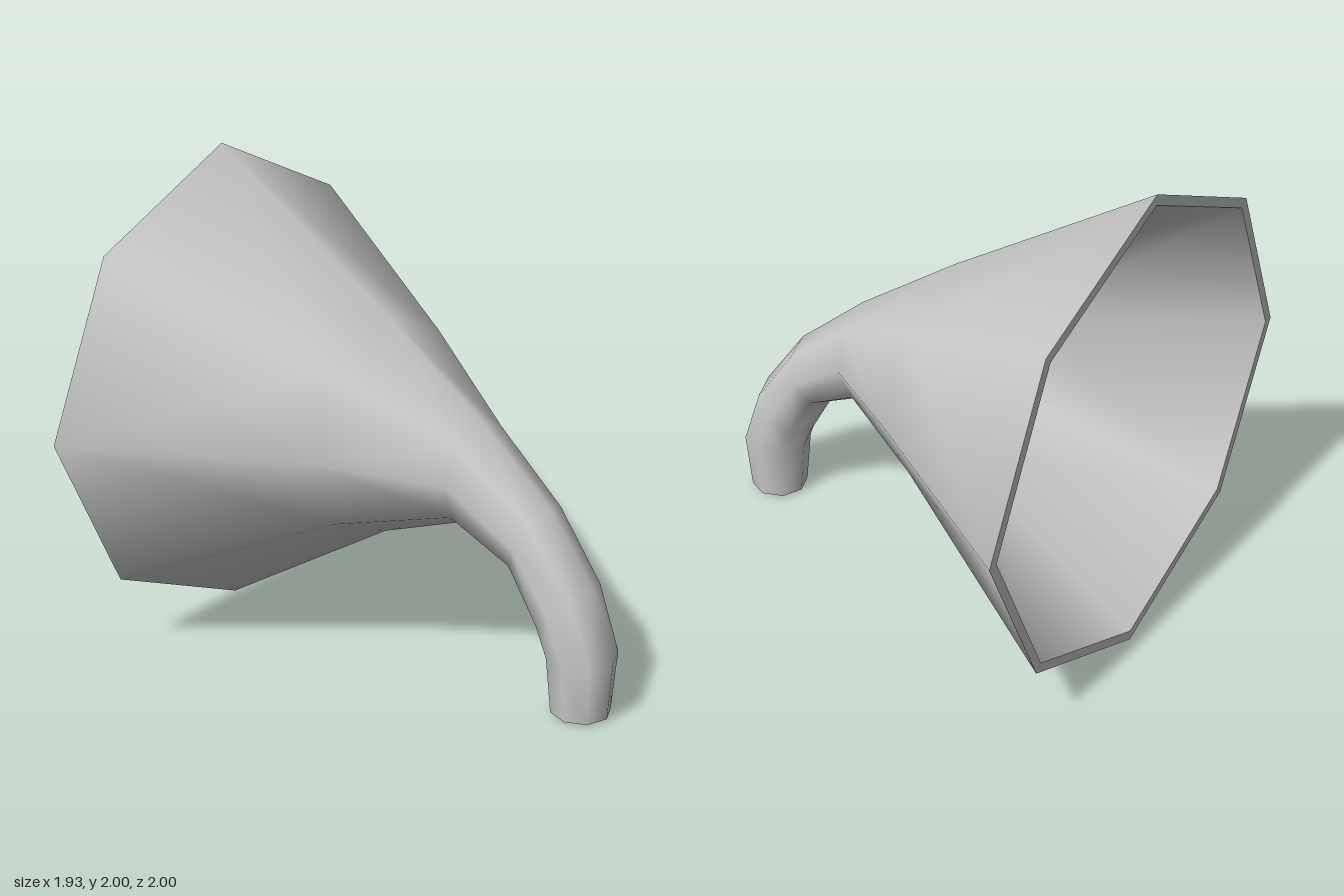
import * as THREE from 'three';

const SIDES = 8;

// Horn sections from mouth to pipe end:
// top x, y, bottom x, y, half width, wall, radius of the diagonal corners
const SECTIONS = [
  [-0.955, 1.995, -0.965, 0.0, 1.0, 0.043, 0.969],
  [-0.11, 1.43, -0.13, 0.512, 0.495, 0.032, 0.96],
  [0.34, 1.1, 0.29, 0.667, 0.205, 0.025, 0.98],
  [0.66, 0.82, 0.53, 0.547, 0.155, 0.02, 1],
  [0.863, 0.54, 0.645, 0.343, 0.149, 0.02, 1],
  [0.965, 0.257, 0.685, 0.243, 0.144, 0.02, 1],
  [0.946, 0.01, 0.706, 0.01, 0.12, 0.02, 1],
];

// Octagonal ring of points, moved inwards by inset
function ring([tx, ty, bx, by, halfWidth, , diagonal], inset) {
  const centre = new THREE.Vector3((tx + bx) / 2, (ty + by) / 2, 0);
  const up = new THREE.Vector3((tx - bx) / 2, (ty - by) / 2, 0);
  up.setLength(up.length() - inset);
  return Array.from({ length: SIDES }, (_, i) => {
    const a = (i / SIDES) * Math.PI * 2;
    const k = i % 2 ? diagonal : 1;
    const p = centre.clone().addScaledVector(up, k * Math.cos(a));
    p.z = k * Math.sin(a) * (halfWidth - inset);
    return p;
  });
}

// Skin joining successive rings; the quads are split alternately so both halves match
function loft(name, rings, material) {
  const index = [];
  for (let r = 0; r < rings.length - 1; r++) {
    for (let i = 0; i < SIDES; i++) {
      const a = r * SIDES + i, b = r * SIDES + ((i + 1) % SIDES);
      const c = b + SIDES, d = a + SIDES;
      if (i % 2) index.push(a, b, d, b, c, d);
      else index.push(a, b, c, a, c, d);
    }
  }
  const geometry = new THREE.BufferGeometry().setFromPoints(rings.flat());
  geometry.setIndex(index);
  geometry.computeVertexNormals();
  const mesh = new THREE.Mesh(geometry, material);
  mesh.name = name;
  return mesh;
}

export function createModel() {
  const material = new THREE.MeshStandardMaterial({ color: 0xcccccc });
  const outer = SECTIONS.map((s) => ring(s, 0));
  const inner = SECTIONS.map((s) => ring(s, s[5]));
  const last = SECTIONS.length - 1;

  const group = new THREE.Group();
  group.name = 'horn';
  group.add(
    loft('outerWall', outer, material),
    loft('innerWall', [...inner].reverse(), material),
    // Flat edges closing the wall at both openings
    loft('mouthRim', [inner[0], outer[0]], material),
    loft('pipeRim', [outer[last], inner[last]], material),
  );
  return group;
}
